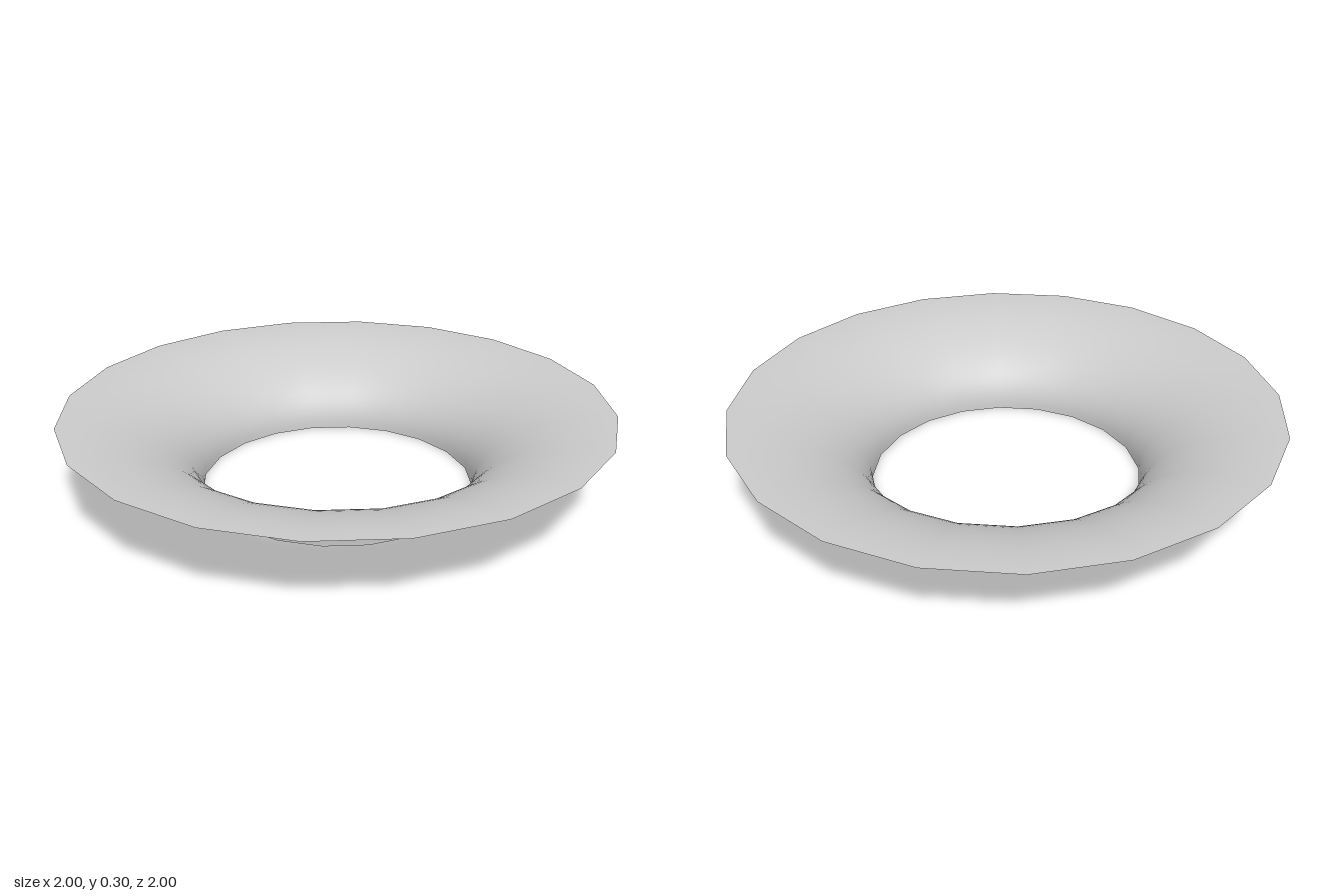
import * as THREE from 'three';

const INNER = 0.5, OUTER = 1, HEIGHT = 0.3;
const STEPS = 20, SIDES = 20;

export function createModel() {
  const group = new THREE.Group();
  group.name = 'flaredCollar';

  // Quarter-ellipse profile: upright at the neck, level at the rim
  const profile = [];
  for (let i = 0; i <= STEPS; i++) {
    const a = (i / STEPS) * Math.PI / 2;
    profile.push(new THREE.Vector2(
      OUTER - (OUTER - INNER) * Math.cos(a),
      HEIGHT * Math.sin(a)
    ));
  }

  // Open, thin flared surface
  const flare = new THREE.Mesh(
    new THREE.LatheGeometry(profile, SIDES),
    new THREE.MeshStandardMaterial({ color: 0xcccccc, side: THREE.DoubleSide })
  );
  flare.name = 'flare';
  group.add(flare);
  return group;
}
